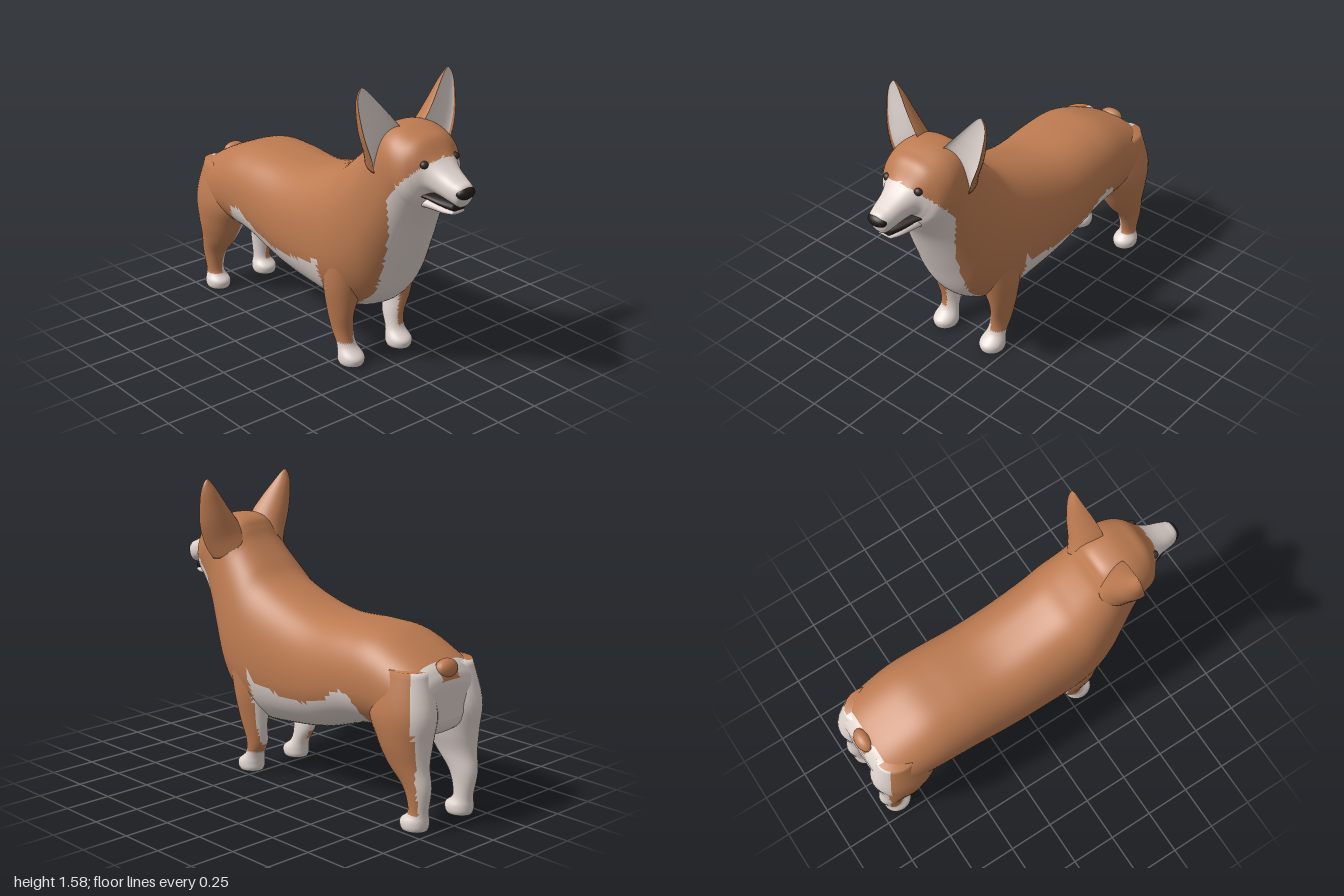
import * as THREE from 'three';

const flat = (name, color) => {
  const m = new THREE.MeshStandardMaterial({ color });
  m.name = name;
  return m;
};
const tan = flat('tan fur', 0xbd7b51);
const white = flat('white fur', 0xe0d4ce);
const black = flat('nose black', 0x231c1a);
const brown = flat('eye brown', 0x382e2b);
const TAN = 0, WHITE = 1;

// Smoothly interpolates rows of section numbers
function resample(rows, n) {
  const out = [], last = rows.length - 1;
  for (let k = 0; k <= n; k++) {
    const f = (k / n) * last, i = Math.min(Math.floor(f), last - 1), t = f - i;
    const p = (o) => rows[Math.max(0, Math.min(last, i + o))];
    out.push(rows[i].map((_, c) => {
      const a = p(-1)[c], b = p(0)[c], d = p(1)[c], e = p(2)[c];
      return b + 0.5 * t * (d - a + t * (2 * a - 5 * b + 4 * d - e + t * (3 * (b - d) + e - a)));
    }));
  }
  return out;
}

// Skins rings of points; rule(|x|, y, z, turn) picks the material of each face
function loft(name, rows, ring, rule, { steps = 40, sides = 32, side = 1, mats = [tan, white] } = {}) {
  const pos = [], faces = mats.map(() => []);
  const sections = resample(rows, steps);
  for (const row of sections) {
    for (let j = 0; j < sides; j++) {
      const [x, y, z] = ring(row, (j / sides) * Math.PI * 2);
      pos.push(x * side, y, z);
    }
  }
  const caps = [0, steps].map((i) => {
    const c = [0, 0, 0];
    for (let j = 0; j < sides; j++) for (let k = 0; k < 3; k++) c[k] += pos[(i * sides + j) * 3 + k] / sides;
    pos.push(...c);
    return pos.length / 3 - 1;
  });
  const add = (a, b, c, turn) => {
    const mid = (k) => (pos[a * 3 + k] + pos[b * 3 + k] + pos[c * 3 + k]) / 3;
    const list = faces[rule(Math.abs(mid(0)), mid(1), mid(2), turn)];
    if (side > 0) list.push(a, b, c); else list.push(a, c, b);
  };
  for (let j = 0; j < sides; j++) {
    const n = (j + 1) % sides, turn = (j + 0.5) / sides, end = steps * sides;
    for (let i = 0; i < steps; i++) {
      const r = i * sides, q = r + sides;
      add(r + j, r + n, q + n, turn);
      add(r + j, q + n, q + j, turn);
    }
    add(caps[0], n, j, turn);
    add(caps[1], end + j, end + n, turn);
  }
  const geo = new THREE.BufferGeometry();
  geo.setAttribute('position', new THREE.Float32BufferAttribute(pos, 3));
  geo.setIndex(faces.flat());
  let start = 0;
  faces.forEach((f, i) => { geo.addGroup(start, f.length, i); start += f.length; });
  geo.computeVertexNormals();
  const mesh = new THREE.Mesh(geo, mats);
  mesh.name = name;
  return mesh;
}

// Piecewise linear lookup in [[key, value], ...]
function lookup(table, k) {
  for (let i = 1; i < table.length; i++) {
    const [a, u] = table[i - 1], [b, v] = table[i];
    if (k <= b) return u + (v - u) * Math.max(0, (k - a) / (b - a));
  }
  return table[table.length - 1][1];
}

// Rings: upright body slice, level leg slice, hollow-fronted ear slice
const bodyRing = ([zt, yt, zb, yb, w], a) => {
  const s = Math.sin(a), c = -Math.cos(a);
  const h = (1 + Math.sign(c) * Math.abs(c) ** 0.9) / 2;
  const x = w * Math.sign(s) * Math.abs(s) ** (c > 0 ? 0.75 : 0.95);
  return [x, yb + (yt - yb) * h, zb + (zt - zb) * h];
};
const legRing = ([y, cx, cz, rx, rz], a) => [cx + rx * Math.cos(a), y, cz + rz * Math.sin(a)];
const earRing = ([ix, iy, ox, oy, zf, d], a) => {
  const t = (1 + Math.cos(a)) / 2, s = Math.sin(a);
  return [ix + (ox - ix) * t, iy + (oy - iy) * t, zf - d * (s > 0 ? s : -0.25 * s)];
};

// Coat pattern
const bellyLine = [[-0.64, 0.44], [-0.6, 0.52], [-0.55, 0.63], [-0.48, 0.65], [-0.35, 0.56],
  [-0.2, 0.51], [0, 0.52], [0.15, 0.55], [0.2, 0.6]];
const bibWidth = [[0.3, 0.14], [0.6, 0.145], [0.8, 0.165], [0.95, 0.19], [1.1, 0.21]];
const isRump = (y, z) => y < 0.84 && z < -0.895 - (0.84 - y) * 0.13;
function bodyCoat(x, y, z) {
  if (isRump(y, z)) return x < 0.06 && y > 0.74 ? TAN : WHITE;
  if (z < -0.6) return y < 0.5 && x < 0.16 ? WHITE : TAN;
  if (z < 0.2) return y < lookup(bellyLine, z) ? WHITE : TAN;
  if (z > 0.69 && y < Math.max(1.255 - x * 1.2, 1.12)) return WHITE;
  return x < lookup(bibWidth, y) && y < 0.75 + (z - 0.4) * 1.2 ? WHITE : TAN;
}
const frontLegCoat = (x, y, z) => (y > 0.115 && x > 0.155 && z > 0.205 ? TAN : WHITE);
const hindLegCoat = (x, y, z) => (y > 0.085 && x > 0.155 && z > -0.945 && !isRump(y, z) ? TAN : WHITE);

// Each row: top z, top y, bottom z, bottom y, half width; rump to muzzle
const bodyRows = [
  [-0.965, 0.72, -0.96, 0.54, 0.17], [-0.945, 0.775, -0.935, 0.48, 0.23], [-0.88, 0.835, -0.86, 0.45, 0.27],
  [-0.65, 0.935, -0.64, 0.44, 0.295], [-0.45, 0.95, -0.45, 0.415, 0.3], [-0.2, 0.945, -0.2, 0.335, 0.3],
  [0, 0.985, 0.05, 0.295, 0.3], [0.2, 1.06, 0.25, 0.28, 0.3], [0.31, 1.15, 0.38, 0.32, 0.29],
  [0.4, 1.24, 0.49, 0.41, 0.265], [0.44, 1.3, 0.58, 0.6, 0.24], [0.47, 1.34, 0.68, 0.84, 0.215],
  [0.52, 1.36, 0.745, 0.955, 0.21], [0.6, 1.365, 0.76, 0.98, 0.205], [0.68, 1.345, 0.775, 1.01, 0.185],
  [0.74, 1.32, 0.785, 1.04, 0.15], [0.8, 1.25, 0.8, 1.065, 0.11], [0.86, 1.205, 0.85, 1.06, 0.085],
  [0.93, 1.17, 0.92, 1.045, 0.07], [0.975, 1.15, 0.955, 1.037, 0.055], [0.985, 1.12, 0.97, 1.06, 0.03],
];
const jawRows = [[0.7, 1.05, 0.71, 0.975, 0.1], [0.8, 1.045, 0.79, 0.982, 0.085],
  [0.88, 1.022, 0.87, 0.982, 0.062], [0.93, 1.01, 0.92, 0.988, 0.04]];
const mouthRows = [[0.73, 1.085, 0.73, 1.045, 0.13], [0.79, 1.075, 0.79, 1.04, 0.1],
  [0.87, 1.06, 0.87, 1.015, 0.068], [0.925, 1.045, 0.925, 1.005, 0.04]];

// Each row: y, centre x, centre z, radius x, radius z; hip to paw
const frontLegRows = [
  [0.62, 0.17, 0.3, 0.115, 0.13], [0.45, 0.18, 0.28, 0.1, 0.115], [0.3, 0.192, 0.27, 0.06, 0.09],
  [0.18, 0.175, 0.265, 0.052, 0.068], [0.1, 0.167, 0.29, 0.052, 0.052], [0.05, 0.165, 0.322, 0.066, 0.076],
  [0.02, 0.165, 0.325, 0.068, 0.077], [0, 0.165, 0.325, 0.06, 0.068]];
const hindLegRows = [
  [0.8, 0.16, -0.82, 0.09, 0.11], [0.6, 0.165, -0.8, 0.135, 0.19], [0.45, 0.17, -0.82, 0.12, 0.155],
  [0.33, 0.175, -0.85, 0.085, 0.12], [0.22, 0.17, -0.905, 0.06, 0.08], [0.1, 0.165, -0.912, 0.048, 0.054],
  [0.05, 0.165, -0.89, 0.066, 0.076], [0.02, 0.165, -0.888, 0.068, 0.076], [0, 0.165, -0.888, 0.06, 0.068]];

// Each row: inner x, inner y, outer x, outer y, front z, depth; base to tip
const earRows = [
  [0.06, 1.3, 0.22, 1.14, 0.56, 0.14], [0.08, 1.355, 0.255, 1.22, 0.585, 0.14],
  [0.14, 1.43, 0.295, 1.34, 0.575, 0.11], [0.21, 1.515, 0.31, 1.47, 0.55, 0.06],
  [0.25, 1.56, 0.305, 1.535, 0.537, 0.025], [0.272, 1.577, 0.285, 1.572, 0.533, 0.01]];

function ball(name, mat, position, radii) {
  const mesh = new THREE.Mesh(new THREE.SphereGeometry(1, 20, 14), mat);
  mesh.name = name;
  mesh.position.set(...position);
  mesh.scale.set(...radii);
  return mesh;
}

export function createModel() {
  const dog = new THREE.Group();
  dog.name = 'dog';
  dog.add(
    loft('bodyAndHead', bodyRows, bodyRing, bodyCoat, { steps: 140, sides: 72 }),
    loft('lowerJaw', jawRows, bodyRing, () => 0, { steps: 12, sides: 20, mats: [white] }),
    loft('mouth', mouthRows, bodyRing, () => 0, { steps: 12, sides: 20, mats: [black] }),
    ball('nose', black, [0, 1.113, 0.962], [0.058, 0.034, 0.038]),
    ball('tail', tan, [0, 0.79, -0.925], [0.07, 0.05, 0.045]),
  );
  // Paired parts
  for (const [label, side] of [['left', 1], ['right', -1]]) {
    dog.add(
      loft(label + 'FrontLeg', frontLegRows, legRing, frontLegCoat, { side }),
      loft(label + 'HindLeg', hindLegRows, legRing, hindLegCoat, { side }),
      loft(label + 'Ear', earRows, earRing, (x, y, z, turn) => (turn > 0.5 && turn < 0.95 ? WHITE : TAN),
        { side, steps: 24 }),
      ball(label + 'Eye', brown, [0.1 * side, 1.222, 0.784], [0.022, 0.02, 0.02]),
    );
  }
  return dog;
}
